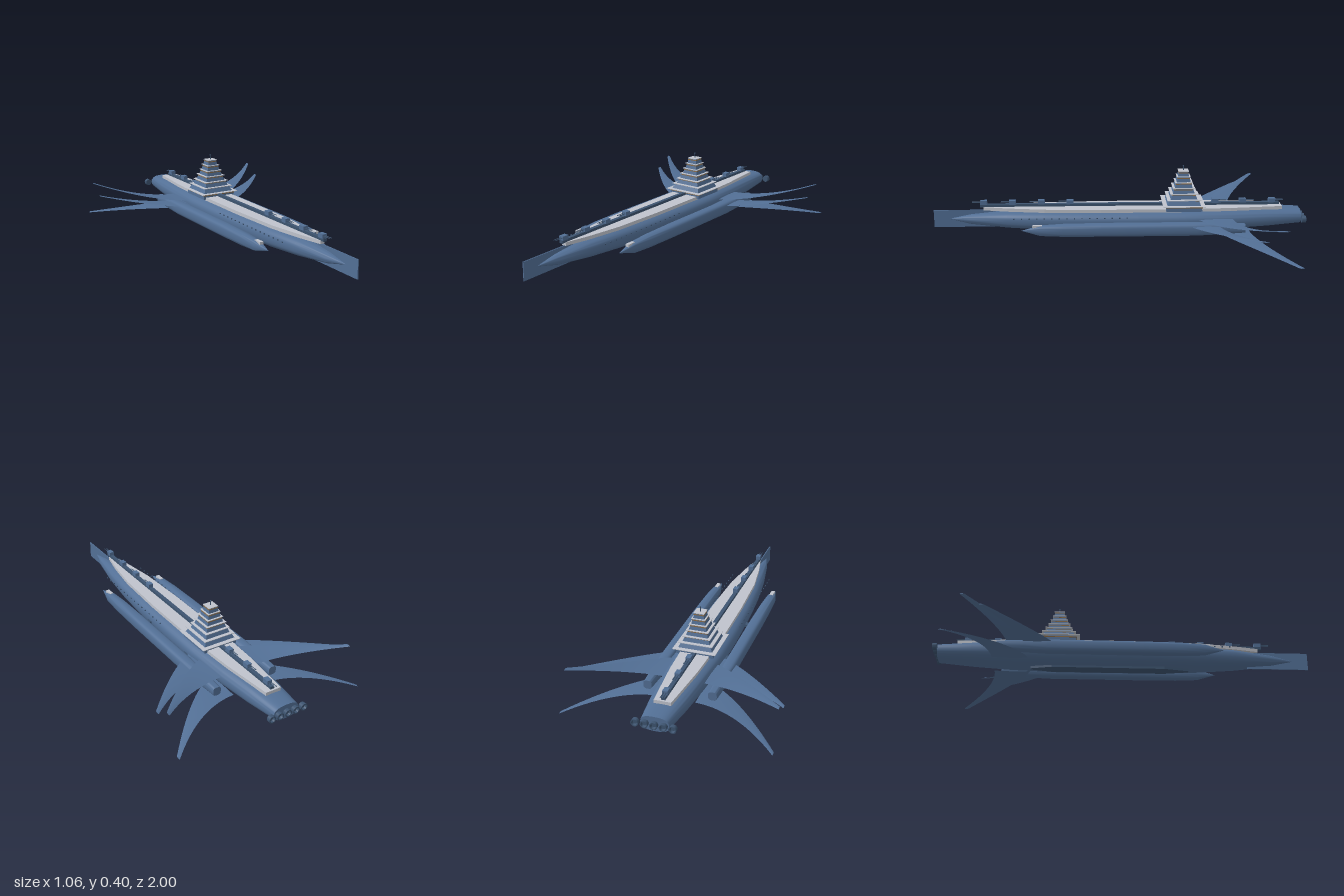
import * as THREE from 'three';
import { toCreasedNormals } from 'three/addons/utils/BufferGeometryUtils.js';

const mat = (color) => new THREE.MeshStandardMaterial({ color });

// Skin a row of closed rings of points into a surface
function skin(rings) {
  const n = rings[0].length, index = [];
  for (let i = 0; i < rings.length - 1; i++) {
    for (let j = 0; j < n; j++) {
      const a = i * n + j, b = i * n + (j + 1) % n;
      index.push(a, a + n, b, b, a + n, b + n);
    }
  }
  const g = new THREE.BufferGeometry();
  g.setAttribute('position', new THREE.Float32BufferAttribute(rings.flat(2), 3));
  g.setIndex(index);
  return toCreasedNormals(g, 0.7);
}

// Rounded body along z from sections [z, halfWidth, bottom, top], front to back
function bodyGeometry(sections, n, power) {
  const round = (v) => Math.sign(v) * Math.abs(v) ** (2 / power);
  return skin(sections.map(([z, w, y0, y1]) => Array.from({ length: n }, (_, j) => {
    const a = (j / n) * Math.PI * 2;
    return [w * round(Math.cos(a)), (y0 + y1) / 2 + (y1 - y0) / 2 * round(Math.sin(a)), z];
  })));
}

// Thin curved wing swept back from the hull to its tip
function wingGeometry(side, z0, y0, y1) {
  const rings = [];
  for (let i = 0; i <= 14; i++) {
    const t = i / 14, x = side * (0.09 + 0.44 * t), y = y0 + (y1 - y0) * t * t;
    const lead = z0 - 0.375 * t ** 1.35, trail = z0 - 0.19 - 0.21 * t ** 1.9;
    const mid = (lead + trail) / 2, h = 0.003;
    const ring = [[x, y, lead], [x, y + h, mid], [x, y, trail], [x, y - h, mid]];
    rings.push(side > 0 ? ring : ring.reverse());
  }
  const tip = rings[14], centre = [0, 1, 2].map((k) => (tip[0][k] + tip[2][k]) / 2);
  rings.push(tip.map(() => centre));
  return skin(rings);
}

// Horizontal plate with a mirrored outline of [halfWidth, z] points
function plateGeometry(outline, y0, y1) {
  const pts = [...outline, ...outline.map(([x, z]) => [-x, z]).reverse()];
  const shape = new THREE.Shape(pts.map(([x, z]) => new THREE.Vector2(x, -z)));
  return new THREE.ExtrudeGeometry(shape, { depth: y1 - y0, bevelEnabled: false })
    .rotateX(-Math.PI / 2).translate(0, y0, 0);
}

export function createModel() {
  const model = new THREE.Group();
  model.name = 'spaceBattleship';
  const blue = mat(0x526f95), dark = mat(0x3d5470), pale = mat(0xbfc3cc), brown = mat(0x8a6c48);

  const add = (name, geometry, material, x = 0, y = 0, z = 0, parent = model) => {
    const m = new THREE.Mesh(geometry, material);
    m.name = name;
    m.position.set(x, y, z);
    parent.add(m);
    return m;
  };
  const box = (name, w, h, d, material, x, y, z, parent) =>
    add(name, new THREE.BoxGeometry(w, h, d), material, x, y, z, parent);

  // Hull, with a closed stern
  add('hull', bodyGeometry([
    [0.92, 0, 0.106, 0.106], [0.8, 0.037, 0.08, 0.131], [0.6, 0.074, 0.062, 0.152],
    [0.4, 0.098, 0.052, 0.16], [0.2, 0.112, 0.048, 0.163], [-0.1, 0.122, 0.046, 0.164],
    [-0.35, 0.122, 0.046, 0.164], [-0.6, 0.11, 0.052, 0.163], [-0.8, 0.093, 0.062, 0.16],
    [-0.98, 0.07, 0.075, 0.152], [-0.98, 0, 0.113, 0.113],
  ], 40, 2.7), blue);
  box('prowBlade', 0.005, 0.095, 0.33, blue, 0, 0.107, 0.835);

  // Deck, spine and keel
  add('deck', plateGeometry([
    [0.012, 0.73], [0.04, 0.6], [0.068, 0.4], [0.08, 0.1], [0.083, -0.3], [0.07, -0.6], [0.043, -0.88],
  ], 0.155, 0.173), pale);
  box('deckSpine', 0.02, 0.016, 1.62, dark, 0, 0.179, -0.06);
  add('keel', plateGeometry([
    [0.008, 0.35], [0.034, 0.22], [0.034, -0.38], [0.008, -0.49],
  ], 0.036, 0.055), dark);

  // Twin-barrel turrets; those behind the tower aim aft
  for (const z of [0.73, 0.575, 0.42, 0.265, -0.52, -0.67, -0.83]) {
    const turret = new THREE.Group(), aim = z > 0 ? 1 : -1;
    turret.name = 'turret';
    turret.position.set(0, 0.187, z);
    model.add(turret);
    box('turretHouse', 0.026, 0.022, 0.036, blue, 0, 0.009, 0, turret);
    for (const x of [-0.006, 0.006]) {
      const barrel = new THREE.CylinderGeometry(0.002, 0.002, 0.055, 6).rotateX(Math.PI / 2);
      add('barrel', barrel, dark, x, 0.011, aim * 0.035, turret);
    }
  }

  // Stepped command tower
  const tower = new THREE.Group();
  tower.name = 'tower';
  tower.position.z = -0.345;
  model.add(tower);
  const halves = [0.113, 0.09, 0.073, 0.059, 0.047, 0.037, 0.028];
  let base = 0.162;
  halves.forEach((half, i) => {
    const top = 0.192 + i * 0.029, low = i ? halves[i - 1] * 0.8 : 0.096, high = half * 0.84;
    const tier = new THREE.CylinderGeometry(high * Math.SQRT2, low * Math.SQRT2, top - base, 4)
      .rotateY(Math.PI / 4).toNonIndexed();
    tier.computeVertexNormals();
    add('towerTier', tier, blue, 0, (top + base) / 2, 0, tower);
    box('windowBand', high * 2 + 0.006, 0.005, high * 2 + 0.006, brown, 0, top - 0.008, 0, tower);
    box('towerPlatform', half * 2, 0.003, half * 2, pale, 0, top, 0, tower);
    base = top;
  });
  add('mast', new THREE.CylinderGeometry(0.002, 0.003, 0.03, 8), dark, 0, 0.38, 0, tower);
  add('mastHead', new THREE.SphereGeometry(0.004, 8, 6), dark, 0, 0.392, 0, tower);

  // Row of stern engines
  for (let i = -2; i <= 2; i++) {
    const nozzle = new THREE.LatheGeometry([
      [0, -0.01], [0.018, -0.01], [0.019, 0.012], [0.014, 0.012], [0.011, 0], [0, 0],
    ].map(([r, y]) => new THREE.Vector2(r, y)), 16).rotateX(-Math.PI / 2);
    add('engine', toCreasedNormals(nozzle, 0.5), dark, i * 0.046, 0.113, -0.988);
  }

  // Side pods, pylons, portholes and wings, mirrored
  const pod = bodyGeometry([
    [0.52, 0, 0.09, 0.09], [0.42, 0.025, 0.063, 0.116], [0.3, 0.03, 0.058, 0.123],
    [0.1, 0.033, 0.057, 0.125], [-0.4, 0.033, 0.057, 0.125], [-0.52, 0.028, 0.062, 0.122],
    [-0.66, 0.022, 0.07, 0.116], [-0.66, 0, 0.093, 0.093],
  ], 24, 3.2);
  for (const side of [-1, 1]) {
    const label = side > 0 ? 'left' : 'right';
    add(label + 'Pod', pod, blue, side * 0.167);
    box(label + 'PodSensor', 0.02, 0.014, 0.05, pale, side * 0.167, 0.112, 0.435);
    box(label + 'RearPylon', 0.05, 0.02, 0.15, dark, side * 0.125, 0.095, -0.37);
    box(label + 'FrontPylon', 0.05, 0.014, 0.03, dark, side * 0.125, 0.095, 0.065);
    for (let i = 0; i < 16; i++) {
      box(label + 'Porthole', 0.005, 0.005, 0.007, dark, side * 0.113, 0.136, -0.04 + i * 0.04);
    }
    add(label + 'UpperWing', wingGeometry(side, -0.415, 0.122, 0.197), blue);
    add(label + 'MiddleWing', wingGeometry(side, -0.32, 0.107, 0.142), blue);
    add(label + 'LowerWing', wingGeometry(side, -0.5, 0.061, 0.004), blue);
  }
  return model;
}
